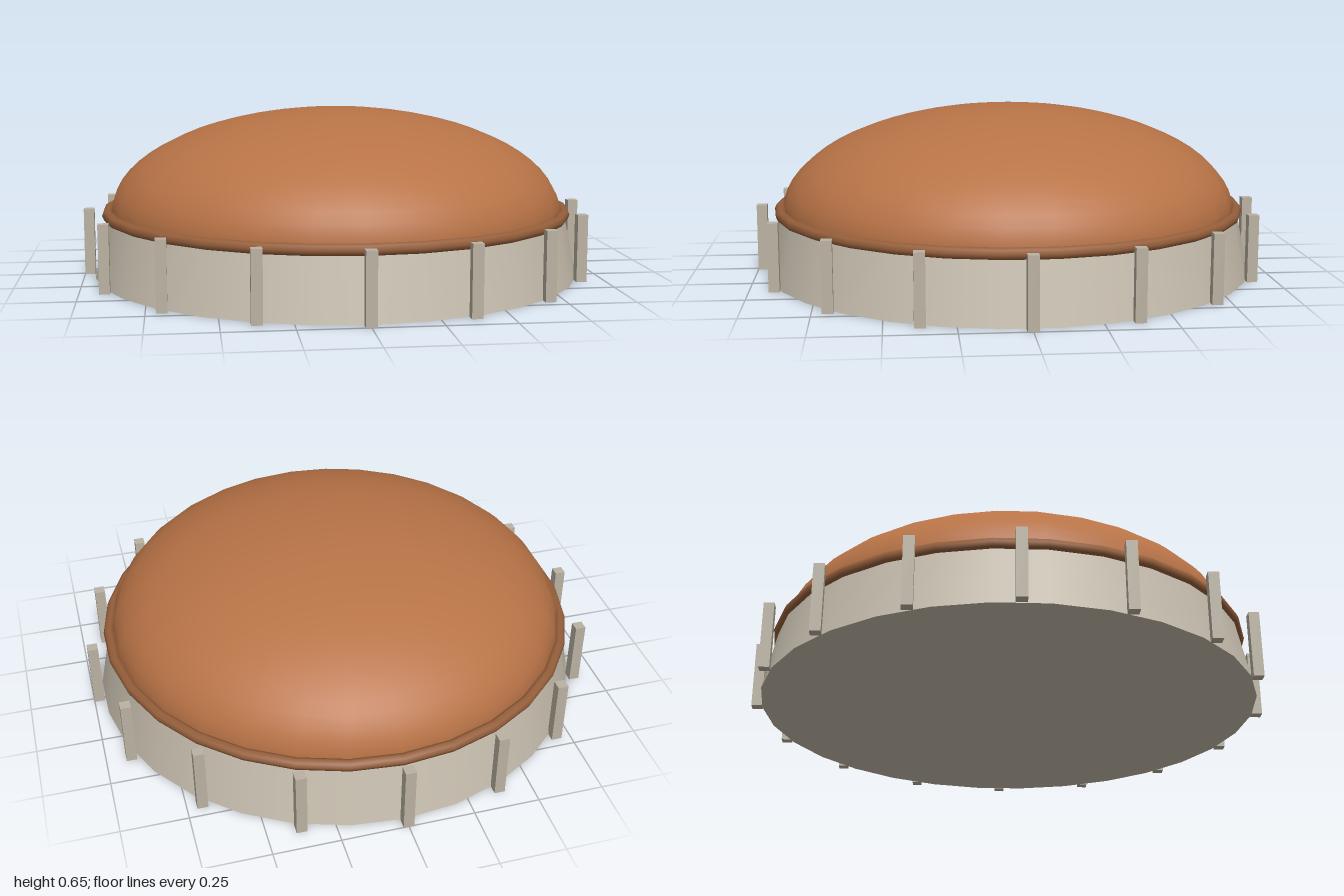
import * as THREE from 'three';

export function createModel() {
  const model = new THREE.Group();
  const material = (name, color) => {
    const m = new THREE.MeshStandardMaterial({ color });
    m.name = name;
    return m;
  };
  const stone = material('pale stone', 0xc8bfaf);
  const postStone = material('grey stone', 0xbab2a2);
  const copper = material('copper', 0xb87346);
  const darkCopper = material('dark copper', 0x965f3b);
  const add = (name, geometry, mat, x = 0, y = 0, z = 0) => {
    const mesh = new THREE.Mesh(geometry, mat);
    mesh.name = name;
    mesh.position.set(x, y, z);
    model.add(mesh);
    return mesh;
  };
  const sides = 30;

  // Tapered drum wall
  add('drum', new THREE.CylinderGeometry(0.91, 0.96, 0.24, sides), stone, 0, 0.12, 0);

  // Flattened half-sphere roof
  const dome = new THREE.SphereGeometry(0.895, sides, 16, -Math.PI / 2, Math.PI * 2, 0, Math.PI / 2);
  dome.scale(1, 0.405 / 0.895, 1);
  add('dome', dome, copper, 0, 0.245, 0);

  // Rounded rim where the roof meets the drum
  const rim = new THREE.TorusGeometry(0.908, 0.022, 8, sides);
  rim.rotateX(Math.PI / 2);
  rim.rotateY(Math.PI / 2);
  add('rim', rim, darkCopper, 0, 0.245, 0);

  // Upright posts around the drum, all squared to the axes
  const post = new THREE.BoxGeometry(0.04, 0.26, 0.04);
  for (let i = 0; i < 16; i++) {
    const a = (i / 16) * Math.PI * 2;
    add('post', post, postStone, 0.98 * Math.sin(a), 0.13, 0.98 * Math.cos(a));
  }
  return model;
}
